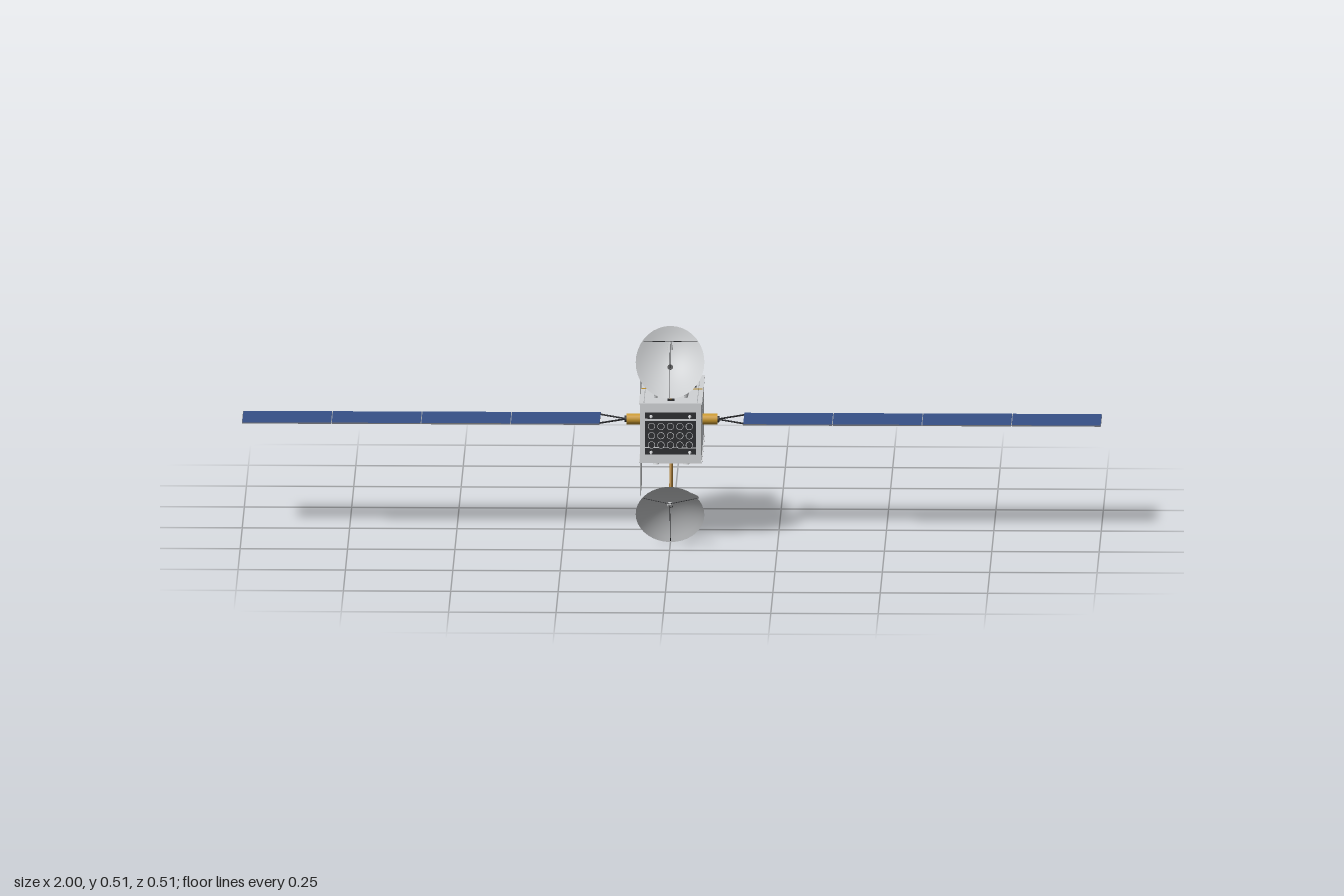
import * as THREE from 'three';

const mat = (name, color, side = THREE.FrontSide) => {
  const m = new THREE.MeshStandardMaterial({ color, side });
  m.name = name;
  return m;
};

export function createModel() {
  const hull = mat('hullGrey', 0xd0d2d4);
  const dishGrey = mat('dishGrey', 0xcbcdcf, THREE.DoubleSide);
  const blue = mat('solarBlue', 0x365088);
  const under = mat('panelBack', 0x74757a);
  const gold = mat('gold', 0xc9982f);
  const bronze = mat('bronzeArm', 0xa87c34);
  const dark = mat('darkGrey', 0x2c2d30, THREE.DoubleSide);
  const seam = mat('seamGrey', 0x85898d);
  const ring = mat('ringGrey', 0x9a9fa8);
  const nozzleBrown = mat('nozzleBrown', 0x94785c, THREE.DoubleSide);

  const model = new THREE.Group();
  model.name = 'satellite';
  const CY = 0.26; // height of the body axis
  const V = (x, y, z) => new THREE.Vector3(x, y, z);

  const add = (parent, name, geo, material, x = 0, y = 0, z = 0) => {
    const m = new THREE.Mesh(geo, material);
    m.name = name;
    m.position.set(x, y, z);
    parent.add(m);
    return m;
  };
  const box = (parent, name, material, w, h, d, x, y, z) =>
    add(parent, name, new THREE.BoxGeometry(w, h, d), material, x, y, z);
  const UP = V(0, 1, 0);
  // Tapered rod from a to b
  const rod = (parent, name, material, a, b, r0, r1 = r0, sides = 8, open = false) => {
    const d = b.clone().sub(a);
    const m = add(parent, name, new THREE.CylinderGeometry(r1, r0, d.length(), sides, 1, open), material);
    m.position.copy(a).addScaledVector(d, 0.5);
    m.quaternion.setFromUnitVectors(UP, d.normalize());
    return m;
  };

  // Body with slightly overhanging decks
  box(model, 'body', hull, 0.142, 0.138, 0.339, 0, CY, -0.0275);
  for (const s of [-1, 1]) {
    box(model, 'deck', hull, 0.147, 0.003, 0.342, 0, CY + s * 0.0695, -0.0275);
    // Seams on the side walls
    for (const z of [0.005, -0.06, -0.125])
      box(model, 'sideSeam', seam, 0.0006, 0.136, 0.0012, s * 0.0712, CY, z);
    box(model, 'sideSeam', seam, 0.0006, 0.0012, 0.337, s * 0.0712, 0.281, -0.0275);
  }

  // Flat plate standing on the right wall
  box(model, 'sidePlate', hull, 0.0012, 0.337, 0.137, -0.0722, 0.2585, -0.0285);

  // Solar wings
  for (const s of [-1, 1]) {
    const wing = new THREE.Group();
    wing.name = s > 0 ? 'leftWing' : 'rightWing';
    model.add(wing);
    const faces = [under, under, blue, under, under, under];
    for (let i = 0; i < 4; i++) {
      const x = 0.166 + 0.2085 * (i + 0.5);
      box(wing, 'solarPanel', faces, 0.2065, 0.003, 0.137, s * (x + 0.0001), CY, -0.031);
      if (i) box(wing, 'panelHinge', ring, 0.002, 0.0024, 0.135, s * (x - 0.10425), CY, -0.031);
    }
    box(wing, 'wingTip', under, 0.002, 0.002, 0.137, s * 0.999, CY, -0.031);
    rod(wing, 'wingDrive', gold, V(s * 0.071, CY, -0.029), V(s * 0.106, CY, -0.029), 0.013, 0.013, 20);
    rod(wing, 'driveCap', dark, V(s * 0.106, CY, -0.029), V(s * 0.11, CY, -0.029), 0.008, 0.008, 16);
    for (const z of [-0.082, 0.022])
      rod(wing, 'yokeArm', dark, V(s * 0.106, CY, -0.029), V(s * 0.167, CY, z), 0.002);
  }

  // Reflector dish: vertex at the origin, opening along local +y
  const dish = (name, y, z, tilt, rx, rz, depth, feedY, feedZ) => {
    const g = new THREE.Group();
    g.name = name;
    g.position.set(0, y, z);
    g.rotation.x = tilt;
    const profile = [];
    for (let i = 0; i <= 8; i++) profile.push(new THREE.Vector2(i / 8, depth * (i / 8) ** 2));
    add(g, 'reflector', new THREE.LatheGeometry(profile, 36), dishGrey).scale.set(rx, 1, rz);
    const feed = V(0, feedY, feedZ);
    for (const a of [0, 2.2, -2.2])
      rod(g, 'feedStrut', dark, V(Math.sin(a) * rx * 0.97, depth * 0.95, Math.cos(a) * rz * 0.97), feed, 0.0008, 0.0008, 5);
    const aim = feed.clone().lerp(V(0, 0.004, 0), 0.32);
    rod(g, 'feedHorn', hull, feed, aim, 0.003, 0.007, 12);
    rod(g, 'dishMount', dark, V(0, -0.007, 0), V(0, 0.001, 0), 0.005, 0.007, 10);
    model.add(g);
  };

  // Upper and lower halves: dishes, arms and deck equipment
  for (const s of [1, -1]) {
    const place = s > 0 ? 'upper' : 'lower';
    const Y = (h) => CY + s * h;
    const tilt = (t) => (s > 0 ? t : Math.PI - t);
    dish(place + 'FrontDish', Y(0.164), 0.18, tilt(0.963), 0.08, 0.0925, 0.029, 0.041, -0.048);
    dish(place + 'MiddleDish', Y(0.156), 0.036, tilt(0.423), 0.064, 0.07, 0.018, 0.027, -0.036);
    rod(model, 'frontDishArm', bronze, V(0, Y(0.069), 0.105), V(0, Y(0.16), 0.178), 0.003);
    rod(model, 'middleDishArm', bronze, V(0, Y(0.07), 0.033), V(0, Y(0.152), 0.033), 0.003);
    box(model, 'armFoot', dark, 0.016, 0.006, 0.012, 0, Y(0.072), 0.106);
    box(model, 'armFoot', dark, 0.016, 0.006, 0.012, 0, Y(0.072), 0.033);

    // Horn pairs
    for (const x of [-0.035, 0.035]) for (const z of [0.055, 0.075]) {
      rod(model, 'deckHorn', hull, V(x, Y(0.07), z), V(x, Y(0.086), z), 0.003, 0.0075, 14);
      rod(model, 'hornMouth', dark, V(x, Y(0.086), z), V(x, Y(0.0864), z), 0.0062, 0.0062, 14);
    }
    // Small thrusters on the deck and at the rear corners
    for (const x of [-0.053, 0.053]) {
      rod(model, 'deckThruster', dark, V(x, Y(0.069), -0.05), V(x, Y(0.084), -0.052), 0.003, 0.006, 10);
      rod(model, 'deckThruster', dark, V(x, Y(0.069), -0.165), V(x, Y(0.084), -0.17), 0.003, 0.006, 10);
      rod(model, 'rearThruster', dark, V(x, Y(0.058), -0.195), V(x, Y(0.068), -0.208), 0.003, 0.006, 10);
    }
    // Gold foil patches: x, z, width, length
    const foil = [
      [-0.035, -0.165, 0.032, 0.02], [0.0, -0.15, 0.034, 0.022], [-0.012, -0.13, 0.02, 0.016],
      [0.032, -0.046, 0.03, 0.018], [0, -0.029, 0.143, 0.005],
    ];
    for (const [x, z, w, d] of foil)
      box(model, 'foilPatch', gold, w, 0.002, d, x, Y(0.0716), z);
    // Dashed fastener rows
    for (const x of [-0.062, 0.062])
      for (let i = 0; i < 14; i++)
        box(model, 'fastener', seam, 0.0015, 0.0008, 0.008, x, Y(0.0712), -0.185 + i * 0.024);
  }

  // Front face: dark panels, horn array and spikes
  box(model, 'frontPanel', dark, 0.118, 0.062, 0.002, 0, 0.258, 0.1425);
  for (const y of [0.302, 0.217])
    box(model, 'frontPanel', dark, 0.118, 0.015, 0.002, 0, y, 0.1425);
  for (const y of [0.28, 0.258, 0.236]) for (let i = -2; i <= 2; i++) {
    const x = i * 0.022;
    rod(model, 'frontHorn', hull, V(x, y, 0.142), V(x, y, 0.162), 0.004, 0.0085, 14);
    rod(model, 'hornMouth', dark, V(x, y, 0.162), V(x, y, 0.1624), 0.0072, 0.0072, 14);
  }
  for (const x of [-0.045, 0.045]) for (const y of [0.302, 0.217]) {
    rod(model, 'spikeBase', dark, V(x, y, 0.142), V(x, y, 0.156), 0.0025);
    rod(model, 'spike', hull, V(x, y, 0.155), V(x, y, 0.177), 0.004, 0.0008, 10);
  }

  // Rear adapter ring and engine bell
  const back = (name, pts, material) => {
    const m = add(model, name, new THREE.LatheGeometry(pts.map(([r, l]) => new THREE.Vector2(r, l)), 36), material, 0, CY, -0.196);
    m.rotation.x = -Math.PI / 2;
  };
  rod(model, 'adapterCone', ring, V(0, CY, -0.196), V(0, CY, -0.225), 0.049, 0.043, 36);
  rod(model, 'adapterRim', ring, V(0, CY, -0.224), V(0, CY, -0.228), 0.0455, 0.0455, 36);
  back('engineBell', [[0.018, 0.031], [0.0225, 0.037], [0.0255, 0.047], [0.028, 0.058]], nozzleBrown);
  rod(model, 'engineThroat', dark, V(0, CY, -0.226), V(0, CY, -0.232), 0.018, 0.018, 24);

  return model;
}
